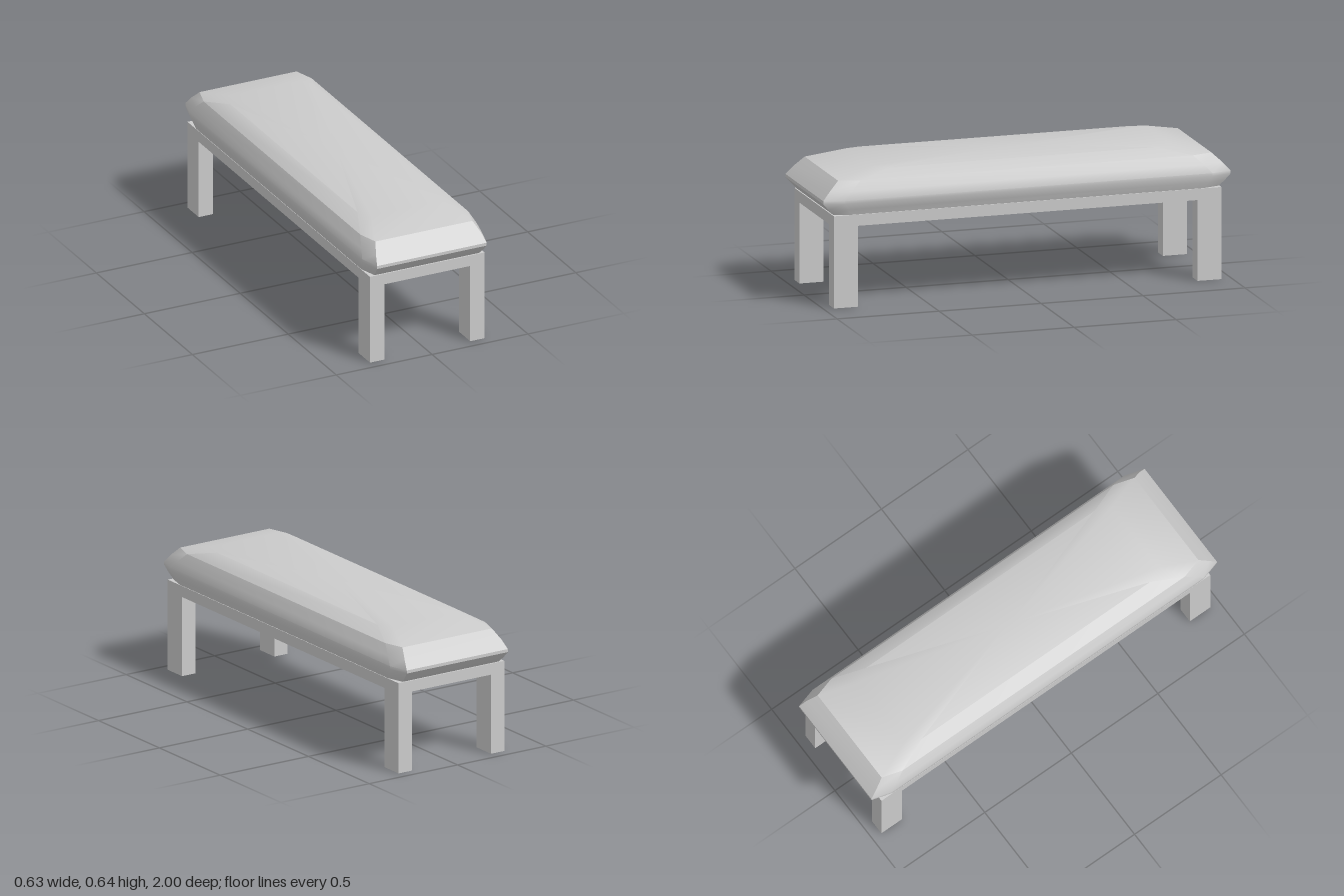
import * as THREE from 'three';
import { toCreasedNormals } from 'three/addons/utils/BufferGeometryUtils.js';

const grey = new THREE.MeshStandardMaterial({ color: 0xcccccc });

// Cushion rings, bottom to top: y, half width, half length,
// half width of the end edge, half length of the side edge, drop of the side edge
const rings = [
  [0.443, 0.298, 0.945, 0.272, 0.86, 0],
  [0.47, 0.306, 0.972, 0.28, 0.88, 0],
  [0.5, 0.314, 0.998, 0.286, 0.9, 0],
  [0.515, 0.314, 0.998, 0.286, 0.9, 0],
  [0.555, 0.302, 0.963, 0.274, 0.865, 0],
  [0.6, 0.282, 0.915, 0.253, 0.815, 0],
  [0.642, 0.219, 0.735, 0.185, 0.66, 0.005],
];

// Eight corners of a ring, counter-clockwise from above
function ringPoints([y, x, z, ex, sz, drop]) {
  const s = y - drop;
  return [
    [x, s, sz], [x, s, -sz], [ex, y, -z], [-ex, y, -z],
    [-x, s, -sz], [-x, s, sz], [-ex, y, z], [ex, y, z],
  ];
}

function cushionGeometry() {
  const loops = rings.map(ringPoints);
  const pos = [];
  const tri = (a, b, c) => pos.push(...a, ...b, ...c);
  const first = loops[0];
  const last = loops[loops.length - 1];
  for (let i = 0; i < 8; i++) {
    const j = (i + 1) % 8;
    for (let k = 0; k + 1 < loops.length; k++) {
      const lo = loops[k], up = loops[k + 1];
      tri(lo[i], lo[j], up[j]);
      tri(lo[i], up[j], up[i]);
    }
    // Top and bottom caps
    tri([0, 0.642, 0], last[i], last[j]);
    tri([0, 0.443, 0], first[j], first[i]);
  }
  const geo = new THREE.BufferGeometry();
  geo.setAttribute('position', new THREE.Float32BufferAttribute(pos, 3));
  return toCreasedNormals(geo, 0.5);
}

export function createModel() {
  const group = new THREE.Group();
  const add = (name, geo, x, y, z) => {
    const mesh = new THREE.Mesh(geo, grey);
    mesh.name = name;
    mesh.position.set(x, y, z);
    group.add(mesh);
  };

  // Padded seat
  add('cushion', cushionGeometry(), 0, 0, 0);

  // Slab under the cushion
  add('seatFrame', new THREE.BoxGeometry(0.598, 0.054, 1.9), 0, 0.415, 0);

  // Four square-cut legs, flush with the frame corners
  const leg = new THREE.BoxGeometry(0.075, 0.388, 0.118);
  for (const sx of [-1, 1]) {
    for (const sz of [-1, 1]) {
      const name = (sz > 0 ? 'front' : 'back') + (sx > 0 ? 'Left' : 'Right') + 'Leg';
      add(name, leg, sx * 0.2615, 0.194, sz * 0.891);
    }
  }
  return group;
}
